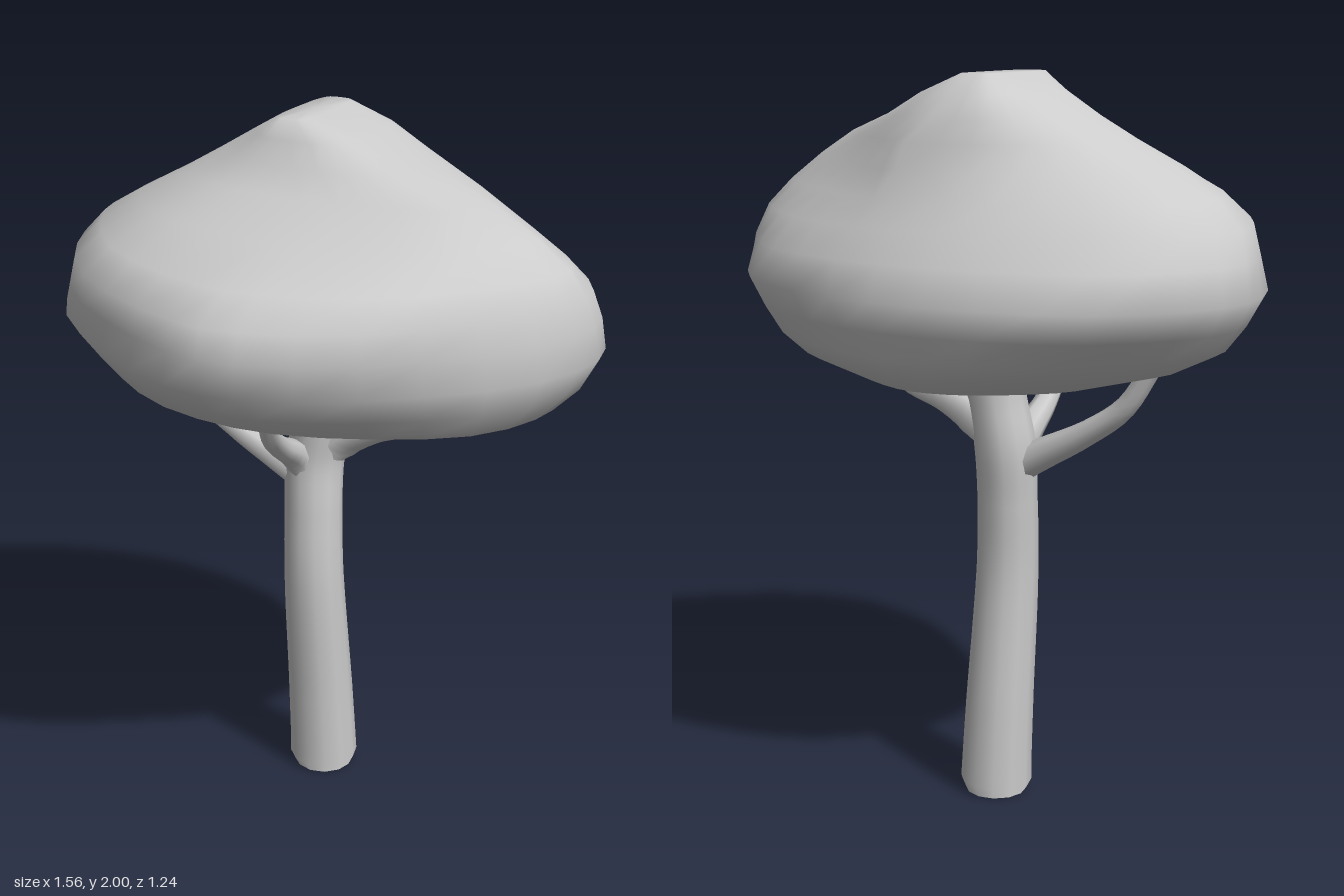
import * as THREE from 'three';

const grey = new THREE.MeshStandardMaterial({ color: 0xcccccc });

// Tube through points [x, y, z, radius], tapering evenly between them
function limb(name, pts, steps, sides) {
  const curve = new THREE.CatmullRomCurve3(pts.map(p => new THREE.Vector3(p[0], p[1], p[2])));
  const geo = new THREE.TubeGeometry(curve, steps, 1, sides);
  const pos = geo.attributes.position, v = new THREE.Vector3();
  for (let i = 0; i <= steps; i++) {
    const c = curve.getPointAt(i / steps);
    const t = curve.getUtoTmapping(i / steps) * (pts.length - 1);
    const k = Math.min(Math.floor(t), pts.length - 2);
    const r = THREE.MathUtils.lerp(pts[k][3], pts[k + 1][3], t - k);
    for (let j = 0; j <= sides; j++) {
      const n = i * (sides + 1) + j;
      v.fromBufferAttribute(pos, n).sub(c).multiplyScalar(r).add(c);
      pos.setXYZ(n, v.x, v.y, v.z);
    }
  }
  const mesh = new THREE.Mesh(geo, grey);
  mesh.name = name;
  return mesh;
}

// Crown cross-sections, bottom to top: height, left x, right x, front z, back z,
// z of the widest point, then roundness of front, back left and back right
// (1 is an ellipse, more is pointed, less is square)
const crownLevels = [
  [1.18, -0.10, 0.15, -0.14, -0.38, -0.26, 1, 1, 1],
  [1.20, -0.36, 0.33, 0.08, -0.46, -0.18, 1, 1.25, 1.1],
  [1.25, -0.57, 0.56, 0.28, -0.54, -0.10, 1, 1.2, 1.1],
  [1.30, -0.67, 0.67, 0.44, -0.57, -0.06, 1.1, 1.1, 1.1],
  [1.37, -0.73, 0.74, 0.54, -0.59, -0.06, 1.2, 1.02, 1.1],
  [1.45, -0.78, 0.78, 0.62, -0.615, -0.08, 1.22, 0.98, 1.05],
  [1.54, -0.755, 0.77, 0.62, -0.57, -0.06, 1.25, 1, 1.02],
  [1.62, -0.73, 0.755, 0.61, -0.52, -0.04, 1.25, 1, 1.1],
  [1.69, -0.66, 0.71, 0.52, -0.475, -0.03, 1.25, 1, 1.3],
  [1.76, -0.54, 0.63, 0.32, -0.445, -0.02, 1.1, 1, 1.5],
  [1.83, -0.41, 0.49, 0.15, -0.415, -0.04, 0.9, 0.9, 1.5],
  [1.89, -0.31, 0.27, 0.09, -0.39, -0.09, 0.8, 0.8, 1.1],
  [1.95, -0.21, 0.12, 0.05, -0.34, -0.12, 0.7, 0.7, 0.8],
  [2.00, -0.12, -0.02, 0.02, -0.28, -0.13, 0.5, 0.5, 0.5],
];

function crown() {
  const sides = 32, pos = [], idx = [];
  const mid = l => [(l[1] + l[2]) / 2, l[0], l[5]];
  for (const l of crownLevels) {
    const [cx, y, cz] = mid(l);
    for (let j = 0; j < sides; j++) {
      const a = (j / sides) * Math.PI * 2, c = Math.cos(a), s = Math.sin(a);
      const p = s > 0 ? l[6] : c < 0 ? l[7] : l[8];
      const x = Math.sign(c) * Math.abs(c) ** p * (l[2] - l[1]) / 2;
      const z = Math.abs(s) ** p * (s > 0 ? l[3] - cz : l[4] - cz);
      // Gentle lumps that leave the four extremes in place
      const lump = 1 + 0.02 * Math.sin(2 * a) ** 2 * Math.sin(5 * a + y * 9);
      pos.push(cx + x * lump, y, cz + z * lump);
    }
  }
  for (let i = 0; i < crownLevels.length - 1; i++) {
    for (let j = 0; j < sides; j++) {
      const a = i * sides + j, b = i * sides + (j + 1) % sides;
      idx.push(a, a + sides, b, b, a + sides, b + sides);
    }
  }
  // Close the underside and the summit
  const last = (crownLevels.length - 1) * sides, low = pos.length / 3, high = low + 1;
  pos.push(...mid(crownLevels[0]), ...mid(crownLevels.at(-1)));
  for (let j = 0; j < sides; j++) {
    const k = (j + 1) % sides;
    idx.push(low, j, k, high, last + k, last + j);
  }
  const geo = new THREE.BufferGeometry();
  geo.setAttribute('position', new THREE.Float32BufferAttribute(pos, 3));
  geo.setIndex(idx);
  geo.computeVertexNormals();
  const mesh = new THREE.Mesh(geo, grey);
  mesh.name = 'crown';
  return mesh;
}

export function createModel() {
  const tree = new THREE.Group();
  tree.name = 'tree';

  // Slightly bent trunk with a rounded foot
  tree.add(limb('trunk', [
    [-0.04, 0, -0.13, 0.085], [-0.04, 0.03, -0.13, 0.1], [-0.045, 0.25, -0.12, 0.095],
    [-0.055, 0.65, -0.095, 0.086], [-0.062, 0.85, -0.105, 0.083],
    [-0.065, 1.0, -0.12, 0.085], [-0.045, 1.12, -0.125, 0.08], [-0.03, 1.25, -0.13, 0.085],
  ], 40, 12));
  const foot = new THREE.Mesh(new THREE.CircleGeometry(0.085, 12), grey);
  foot.name = 'trunkFoot';
  foot.rotation.x = Math.PI / 2;
  foot.position.set(-0.04, 0, -0.13);
  tree.add(foot);

  // Three branches reaching up into the crown
  tree.add(limb('rightBranch', [
    [-0.07, 0.93, -0.11, 0.05], [-0.17, 0.985, -0.1, 0.044], [-0.31, 1.06, -0.09, 0.034],
    [-0.42, 1.14, -0.08, 0.03], [-0.5, 1.26, -0.07, 0.027],
  ], 16, 8));
  tree.add(limb('leftBranch', [
    [-0.06, 0.98, -0.12, 0.04], [0.01, 1.07, -0.13, 0.064], [0.11, 1.12, -0.14, 0.05],
    [0.23, 1.155, -0.15, 0.04], [0.34, 1.24, -0.16, 0.034],
  ], 16, 8));
  tree.add(limb('frontBranch', [
    [-0.07, 0.92, -0.11, 0.04], [-0.085, 1.02, -0.05, 0.044], [-0.075, 1.09, 0.06, 0.033],
    [-0.045, 1.17, 0.17, 0.028], [-0.01, 1.27, 0.26, 0.024],
  ], 16, 8));

  tree.add(crown());
  return tree;
}
